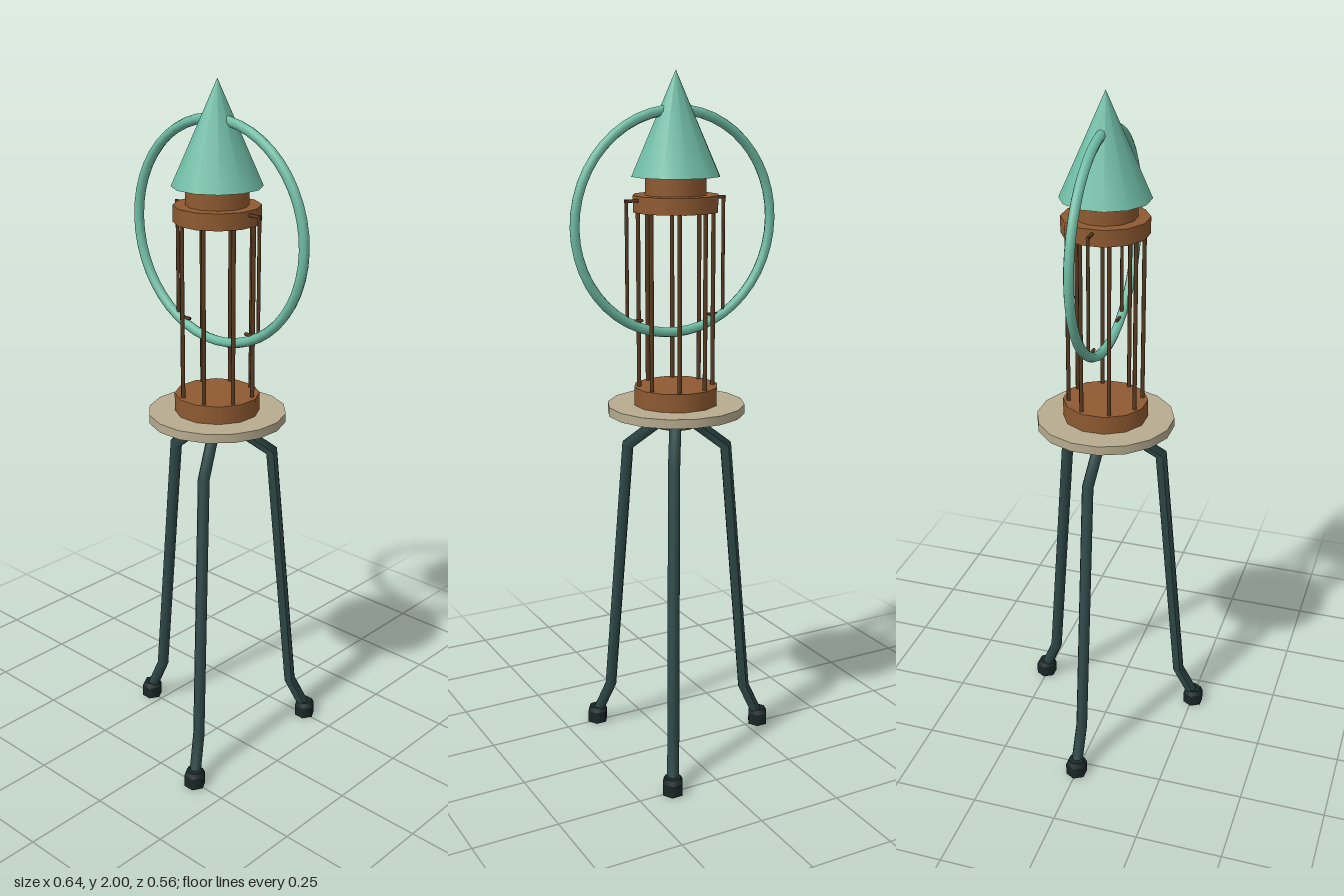
import * as THREE from 'three';

const mat = (name, color, flatShading = false) => {
  const m = new THREE.MeshStandardMaterial({ color, flatShading });
  m.name = name;
  return m;
};

export function createModel() {
  const model = new THREE.Group();
  model.name = 'lanternTower';
  const teal = mat('teal', 0x70bda5);
  const copper = mat('copper', 0x8f5a31);
  const bronze = mat('darkBronze', 0x5a3c22);
  const stone = mat('stone', 0xb8ac90);
  const steel = mat('darkSteel', 0x2f4848);
  const rubber = mat('rubber', 0x1a2727);

  const add = (name, geometry, material, parent = model) => {
    const mesh = new THREE.Mesh(geometry, material);
    mesh.name = name;
    parent.add(mesh);
    return mesh;
  };

  // Upright drum between two heights, turned half a step so a flat faces front
  const drum = (name, rTop, rBottom, y0, y1, sides, material, parent) => {
    const g = new THREE.CylinderGeometry(rTop, rBottom, y1 - y0, sides, 1, false, Math.PI / sides);
    g.translate(0, (y0 + y1) / 2, 0);
    return add(name, g, material, parent);
  };

  // Thin rod between two points
  const rod = (name, a, b, r, parent) => {
    const from = new THREE.Vector3(...a), to = new THREE.Vector3(...b);
    const mesh = add(name, new THREE.CylinderGeometry(r, r, from.distanceTo(to), 6), bronze, parent);
    mesh.position.copy(from).lerp(to, 0.5);
    mesh.quaternion.setFromUnitVectors(new THREE.Vector3(0, 1, 0), to.sub(from).normalize());
  };

  // Roof, collars and platform
  drum('coneRoof', 0, 0.125, 1.718, 2, 12, teal);
  drum('neck', 0.087, 0.087, 1.665, 1.72, 12, copper);
  drum('upperCollar', 0.121, 0.121, 1.622, 1.668, 12, copper);
  drum('lowerCollar', 0.121, 0.121, 1.075, 1.13, 12, copper);
  drum('platform', 0.197, 0.197, 1.052, 1.078, 16, stone);
  drum('hub', 0.092, 0.06, 1.01, 1.054, 12, copper);

  // Cage bars
  for (let i = 0; i < 8; i++) {
    const a = (i + 0.5) * Math.PI / 4, x = 0.105 * Math.cos(a), z = 0.105 * Math.sin(a);
    rod('cageBar', [x, 1.12, z], [x, 1.63, z], 0.006);
  }

  // Side brackets that hold the hoop
  for (const s of [1, -1]) {
    const bracket = new THREE.Group();
    bracket.name = s > 0 ? 'leftBracket' : 'rightBracket';
    model.add(bracket);
    rod('bracketTop', [s * 0.1, 1.656, 0], [s * 0.157, 1.656, 0], 0.005, bracket);
    rod('bracketUpright', [s * 0.152, 1.322, 0], [s * 0.152, 1.66, 0], 0.005, bracket);
    rod('bracketBottom', [s * 0.105, 1.326, 0], [s * 0.157, 1.326, 0], 0.005, bracket);
  }

  // Large upright hoop
  add('hoop', new THREE.TorusGeometry(0.306, 0.014, 8, 48), teal).position.y = 1.59;

  // Bent leg: each ring of a cylinder is moved to a mitred point of the path
  const path = [[0.29, 0.035], [0.24, 0.14], [0.167, 0.93], [0.035, 1.033]]
    .map(([x, y]) => new THREE.Vector2(x, y));
  const legGeometry = new THREE.CylinderGeometry(0.017, 0.017, 3, 8, 3);
  const p = legGeometry.attributes.position;
  for (let i = 0; i < p.count; i++) {
    const k = Math.round(p.getY(i) + 1.5);
    const before = path[Math.max(k, 1)].clone().sub(path[Math.max(k, 1) - 1]).normalize();
    const after = path[Math.min(k, 2) + 1].clone().sub(path[Math.min(k, 2)]).normalize();
    const along = before.clone().add(after).normalize();
    const offset = p.getX(i) / along.dot(before);
    p.setXY(i, path[k].x + offset * along.y, path[k].y - offset * along.x);
  }
  legGeometry.computeVertexNormals();

  // Three legs with hexagonal feet
  for (let i = 0; i < 3; i++) {
    const leg = new THREE.Group();
    leg.name = 'leg' + (i + 1);
    leg.rotation.y = Math.PI + i * Math.PI * 2 / 3;
    model.add(leg);
    add('legTube', legGeometry, steel, leg);
    const foot = new THREE.Group();
    foot.name = 'foot';
    foot.position.x = 0.293;
    leg.add(foot);
    drum('footPad', 0.032, 0.032, 0, 0.036, 6, rubber, foot);
    drum('footCap', 0.025, 0.032, 0.036, 0.05, 6, rubber, foot);
  }
  return model;
}
